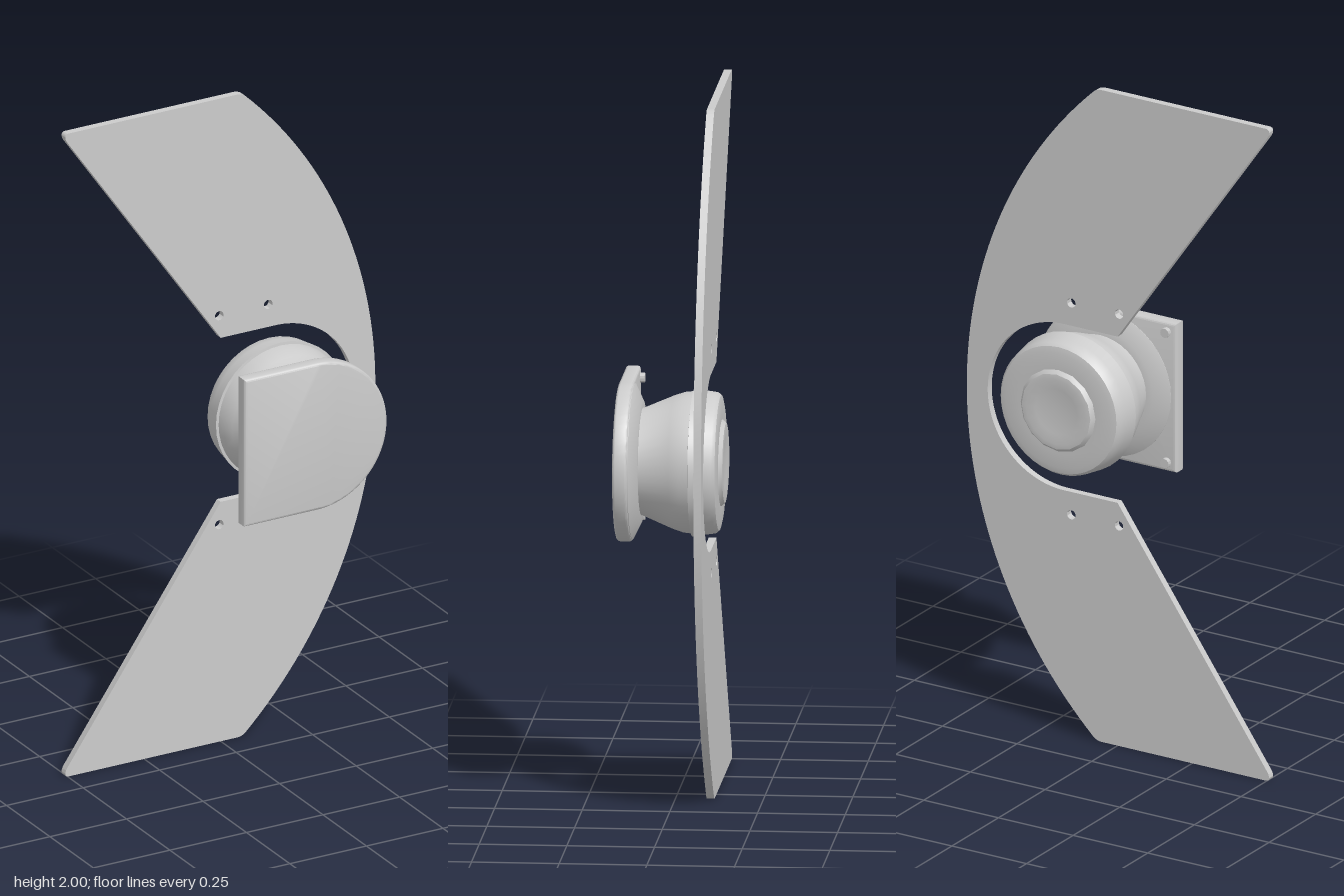
import * as THREE from 'three';
import { toCreasedNormals } from 'three/addons/utils/BufferGeometryUtils.js';

const CX = 0.18, CY = 1; // axis of the hub

export function createModel() {
  const model = new THREE.Group();
  const grey = new THREE.MeshStandardMaterial({ color: 0xcccccc });

  const add = (name, geometry, x = 0, y = 0, z = 0) => {
    const mesh = new THREE.Mesh(toCreasedNormals(geometry, 0.6), grey);
    mesh.name = name;
    mesh.position.set(x, y, z);
    model.add(mesh);
  };

  // Turned part along z: profile of [radius, z] from back to front
  const turned = (name, profile, segments = 40) => {
    const points = profile.map(([r, z]) => new THREE.Vector2(r, z));
    add(name, new THREE.LatheGeometry(points, segments).rotateX(Math.PI / 2), CX, CY);
  };

  // Crescent blade with a round notch for the hub
  const R = 1.367, arcX = 0.505 - R, a = Math.asin(0.99 / R);
  const blade = new THREE.Shape();
  blade.moveTo(-0.495, 0);
  blade.lineTo(0.055, 0);
  blade.quadraticCurveTo(0.068, 0, arcX + R * Math.cos(a), 0.01);
  blade.absarc(arcX, 1, R, -a, a, false);
  blade.quadraticCurveTo(0.068, 2, 0.055, 2);
  blade.lineTo(-0.495, 2);
  blade.quadraticCurveTo(-0.515, 2, -0.503, 1.975);
  blade.lineTo(0, 1.255);
  blade.lineTo(CX, 1.255);
  blade.absarc(CX, CY, 0.255, Math.PI / 2, -Math.PI / 2, true);
  blade.lineTo(0, 0.745);
  blade.lineTo(-0.503, 0.025);
  blade.quadraticCurveTo(-0.515, 0, -0.495, 0);
  for (const x of [-0.005, 0.155]) {
    for (const y of [0.675, 1.325]) {
      blade.holes.push(new THREE.Path().absarc(x, y, 0.014, 0, Math.PI * 2, true));
    }
  }
  add('blade', new THREE.ExtrudeGeometry(blade, {
    depth: 0.022, bevelEnabled: false, curveSegments: 32,
  }), 0, 0, -0.111);

  // Hub: rounded rear cap, tapering body, flared neck
  turned('rearCap', [
    [0, -0.142], [0.13, -0.142], [0.175, -0.142], [0.193, -0.138], [0.201, -0.128],
    [0.205, -0.1], [0.211, -0.062], [0.195, -0.06],
  ]);
  turned('rearBoss', [
    [0, -0.147], [0.07, -0.151], [0.1, -0.155], [0.115, -0.153], [0.127, -0.14],
  ], 16);
  turned('taperedBody', [
    [0.19, -0.065], [0.203, -0.062], [0.2, -0.035], [0.19, -0.005],
    [0.153, 0.082], [0.156, 0.1],
  ]);
  turned('neckFlange', [[0.14, 0.084], [0.175, 0.085], [0.222, 0.108], [0.222, 0.115]]);

  // Front plate: square on one side, half round on the other, rear edge softened
  const edge = 0.008, r = 0.228 - edge;
  const plate = new THREE.Shape();
  plate.moveTo(-0.058 + edge, CY - r);
  plate.lineTo(CX, CY - r);
  plate.absarc(CX, CY, r, -Math.PI / 2, Math.PI / 2, false);
  plate.lineTo(-0.058 + edge, CY + r);
  plate.closePath();
  add('frontPlate', new THREE.ExtrudeGeometry(plate, {
    depth: 0.027, bevelThickness: 0.008, bevelSize: edge, bevelSegments: 3, curveSegments: 24,
  }), 0, 0, 0.117);

  // Screws behind the square corners of the plate
  for (const y of [0.8, 1.2]) {
    add('plateScrew', new THREE.CylinderGeometry(0.014, 0.014, 0.02, 12).rotateX(Math.PI / 2), -0.028, y, 0.105);
  }

  return model;
}
